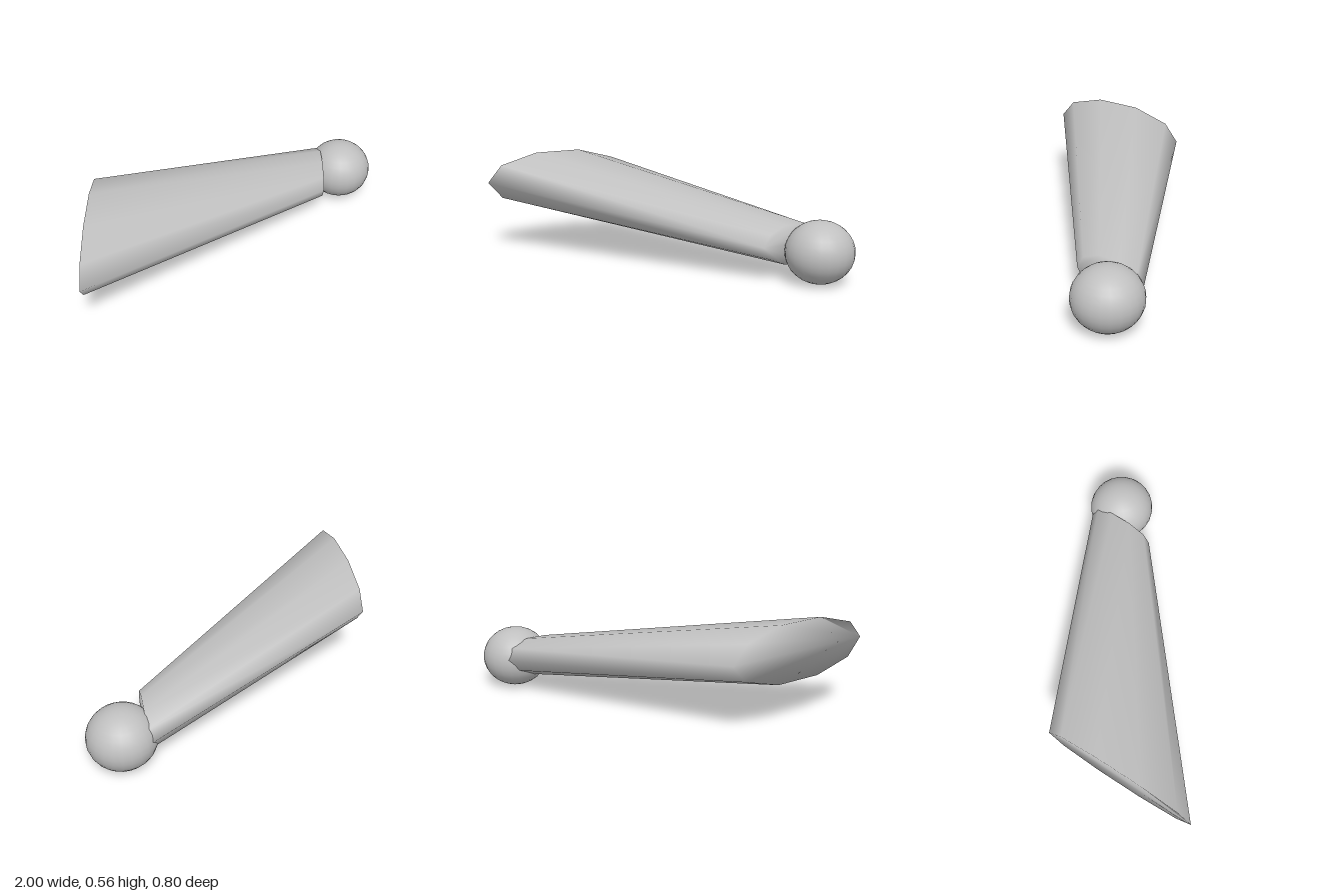
import * as THREE from 'three';

const SIDES = 10;

// Slanted elliptical ring: x shifts with z so both ends are cut at an angle
function ring(xMid, yMid, zMid, ry, rz, slant) {
  const points = [];
  for (let i = 0; i < SIDES; i++) {
    const a = (i / SIDES) * Math.PI * 2;
    const dz = Math.cos(a) * rz;
    points.push(xMid - slant * dz, yMid + Math.sin(a) * ry, zMid + dz);
  }
  return points;
}

// Closed tapered tube with shared vertices, so the shading rolls over the ends
function sleeveGeometry() {
  const shoulder = ring(-0.82, 0.405, 0.0125, 0.163, 0.3875, 0.464);
  const wrist = ring(0.68, 0.19, -0.205, 0.11, 0.175, 0.464);
  const index = [];
  for (let i = 0; i < SIDES; i++) {
    const j = (i + 1) % SIDES;
    index.push(i, i + SIDES, j, j, i + SIDES, j + SIDES);
  }
  for (let i = 1; i < SIDES - 1; i++) {
    index.push(0, i, i + 1);
    index.push(SIDES, SIDES + i + 1, SIDES + i);
  }
  const geometry = new THREE.BufferGeometry();
  geometry.setAttribute('position', new THREE.Float32BufferAttribute([...shoulder, ...wrist], 3));
  geometry.setIndex(index);
  geometry.computeVertexNormals();
  return geometry;
}

export function createModel() {
  const group = new THREE.Group();
  group.name = 'arm';
  const grey = new THREE.MeshStandardMaterial({ color: 0xc0c0c0 });
  grey.name = 'lightGrey';

  // Tapered sleeve, wide at the shoulder
  const sleeve = new THREE.Mesh(sleeveGeometry(), grey);
  sleeve.name = 'sleeve';
  group.add(sleeve);

  // Round hand, slightly flattened
  const hand = new THREE.Mesh(new THREE.SphereGeometry(0.181, 24, 16), grey);
  hand.name = 'hand';
  hand.scale.y = 0.915;
  hand.position.set(0.819, 0.1656, -0.222);
  group.add(hand);

  return group;
}
